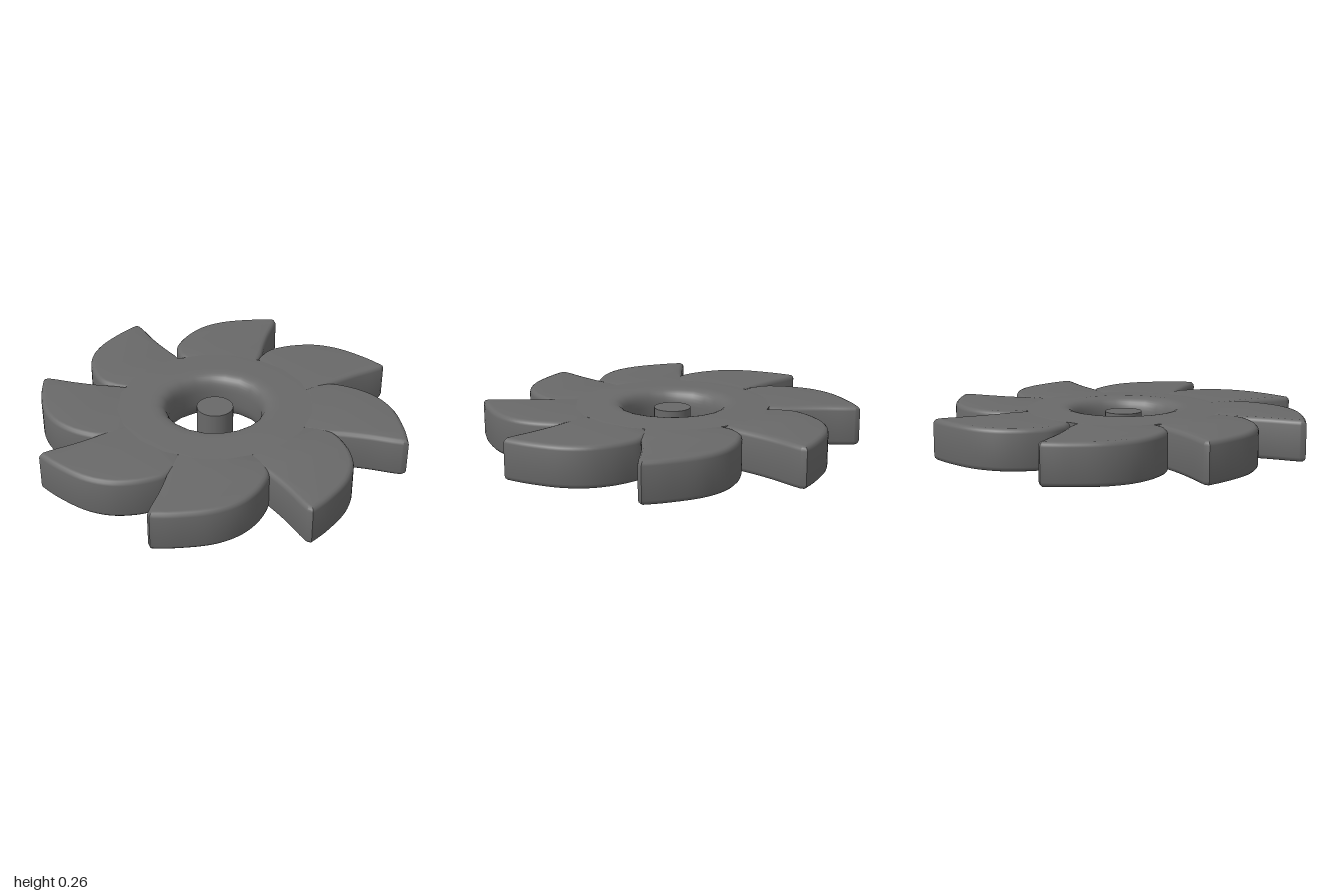
import * as THREE from 'three';
import { toCreasedNormals } from 'three/addons/utils/BufferGeometryUtils.js';

const material = new THREE.MeshStandardMaterial({ color: 0x696969 });

function addMesh(parent, name, geometry) {
  const mesh = new THREE.Mesh(geometry, material);
  mesh.name = name;
  parent.add(mesh);
  return mesh;
}

// Swept blade outline: rounded leading edge, pointed tip, hollow trailing edge
function bladeGeometry() {
  const v = (x, y) => new THREE.Vector2(x, y);
  const s = new THREE.Shape();
  s.moveTo(-0.18, 0.44);
  s.lineTo(-0.25, 0.53);
  s.splineThru([v(-0.272, 0.61), v(-0.262, 0.68), v(-0.212, 0.787), v(-0.127, 0.885),
    v(0, 0.953), v(0.17, 0.986), v(0.3, 0.992)]);
  s.lineTo(0.312, 0.965);
  s.splineThru([v(0.3, 0.91), v(0.27, 0.8), v(0.246, 0.68), v(0.23, 0.56)]);
  s.lineTo(0.2, 0.44);
  const bevel = 0.025;
  const g = new THREE.ExtrudeGeometry(s, {
    depth: 0.22 - 2 * bevel, curveSegments: 4, bevelEnabled: true,
    bevelThickness: bevel, bevelSize: bevel, bevelOffset: -bevel, bevelSegments: 3,
  });
  g.rotateX(-Math.PI / 2);
  g.translate(0, 0.03 + bevel, 0);
  return toCreasedNormals(g, 0.7);
}

// Ring with slightly sloping faces and a rounded, nearly upright throat
function hubGeometry() {
  const outer = 0.53, inner = 0.255, round = 0.1, mid = 0.13, half = 0.13;
  const pts = [new THREE.Vector2(outer, 0.012), new THREE.Vector2(outer, 0.25)];
  const steps = 20;
  const soften = (t) => Math.sign(t) * Math.abs(t) ** (2 / 3);
  for (let i = 0; i <= steps; i++) {
    const a = Math.PI / 2 + (Math.PI * i) / steps;
    pts.push(new THREE.Vector2(
      inner + round + soften(Math.cos(a)) * round,
      mid + soften(Math.sin(a)) * half,
    ));
  }
  pts.push(pts[0].clone());
  return toCreasedNormals(new THREE.LatheGeometry(pts, 20), 0.7);
}

export function createModel() {
  const group = new THREE.Group();
  group.name = 'impeller';

  // Eight blades in opposite pairs: turn in degrees, then x and z offset of the pair
  const blades = new THREE.Group();
  blades.name = 'blades';
  const blade = bladeGeometry();
  const pairs = [[0, 0.037, -0.005], [43.5, 0.037, 0.017], [88.5, 0, 0.019], [134.8, 0.008, -0.016]];
  pairs.forEach(([turn, x, z], i) => {
    for (const half of [0, 1]) {
      const mesh = addMesh(blades, `blade${i + 1 + half * 4}`, blade);
      mesh.position.set(x, 0, z);
      mesh.rotation.y = -THREE.MathUtils.degToRad(turn + half * 180);
    }
  });
  group.add(blades);

  // Hub ring
  addMesh(group, 'hubRing', hubGeometry()).position.x = -0.01;

  // Free-standing centre pin
  addMesh(group, 'centrePin', new THREE.CylinderGeometry(0.1, 0.1, 0.175, 32))
    .position.set(-0.01, 0.143, 0);

  return group;
}
